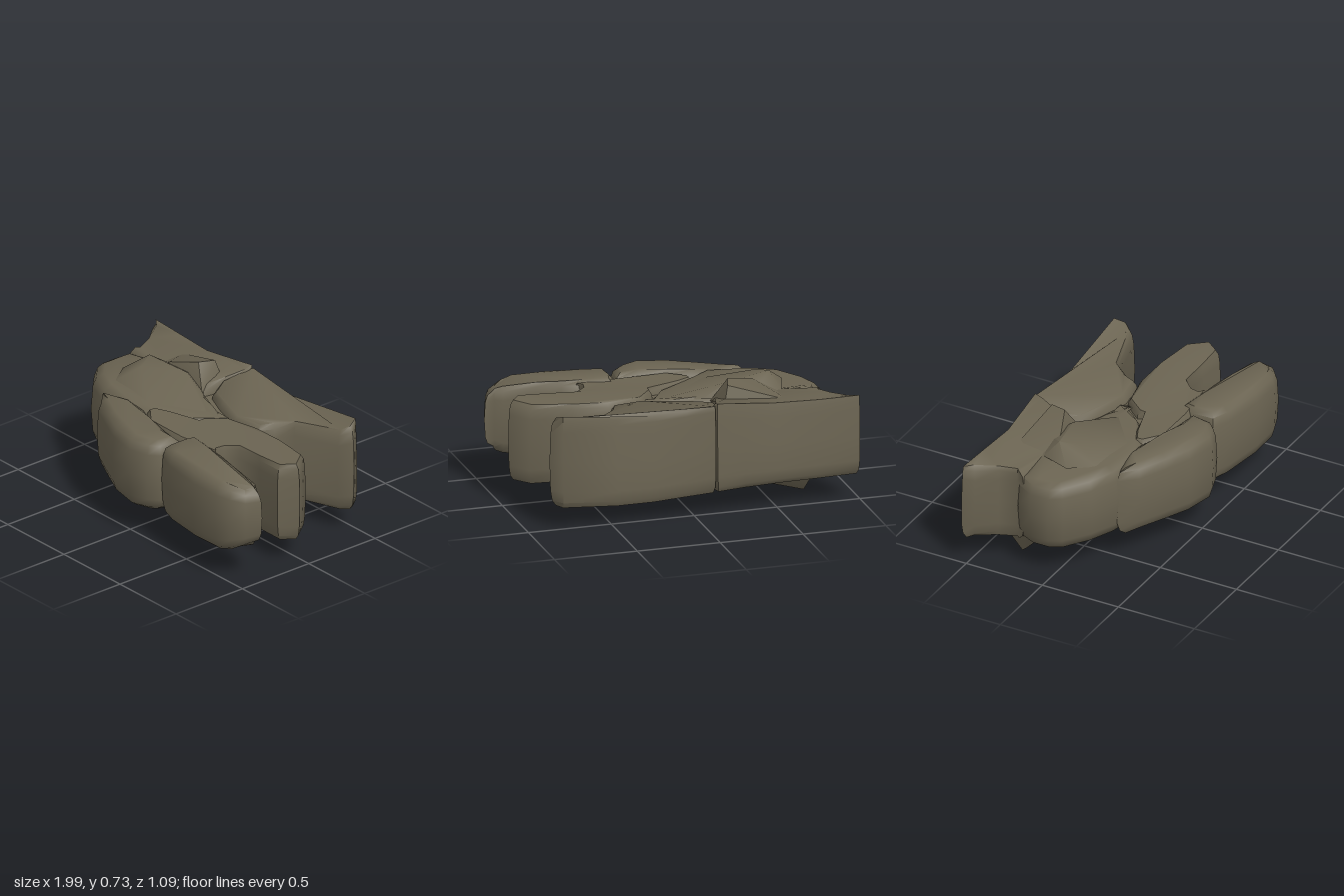
import * as THREE from 'three';
import { toCreasedNormals } from 'three/addons/utils/BufferGeometryUtils.js';
import { ConvexGeometry } from 'three/addons/geometries/ConvexGeometry.js';

// Height fraction and edge inset of each layer of a slab, bottom to top
const LAYERS = [[0, 0.075], [0.06, 0.03], [0.18, 0.01], [0.5, 0], [0.82, 0.01], [0.94, 0.03], [1, 0.075]];

// Linear interpolation through [x, value] pairs
function ramp(keys, x) {
  if (x <= keys[0][0]) return keys[0][1];
  for (let i = 1; i < keys.length; i++) {
    const [x0, a] = keys[i - 1], [x1, b] = keys[i];
    if (x <= x1) return a + (b - a) * (x - x0) / (x1 - x0);
  }
  return keys[keys.length - 1][1];
}

// How far the top of the rear wall leans forward along x
const REAR_LEAN = [[-0.95, 0.015], [-0.5, 0.045], [-0.13, 0.02], [0.3, 0.045], [0.8, 0.015]];

// Rounded slab: a plan outline [x, z] swept through inset layers between two height rules
function slab(outline, bottom, top, round = 1) {
  const plan = outline.map(([x, z]) => new THREE.Vector2(x, z));
  if (THREE.ShapeUtils.isClockWise(plan)) plan.reverse();
  const n = plan.length;
  const rings = LAYERS.map(([t, inset]) => plan.map((p, i) => {
    const a = plan[(i + n - 1) % n], b = plan[(i + 1) % n];
    const dir = b.clone().sub(a).normalize();
    const flatBack = p.y < -0.5;
    const concave = b.clone().sub(p).cross(a.clone().sub(p)) < 0;
    // The rear wall is flat at the top and rolls under at the bottom
    const k = inset * round * (flatBack ? (t < 0.5 ? 0.8 : 0.1) : concave ? 0.3 : 1);
    const lo = bottom(p.x, p.y), hi = top(p.x, p.y);
    return [p.x - dir.y * k, lo + (hi - lo) * t, p.y + dir.x * k + (flatBack ? ramp(REAR_LEAN, p.x) * t : 0)];
  }));
  const pos = rings.flat(2), idx = [];
  for (let r = 0; r < rings.length - 1; r++) {
    for (let i = 0; i < n; i++) {
      const a = r * n + i, b = r * n + (i + 1) % n;
      idx.push(a, a + n, b, b, a + n, b + n);
    }
  }
  const last = (rings.length - 1) * n;
  const capOf = (ring) => THREE.ShapeUtils.triangulateShape(ring.map((p) => new THREE.Vector2(p[0], p[2])), []);
  for (const [a, b, c] of capOf(rings[0])) idx.push(a, b, c);
  for (const [a, b, c] of capOf(rings[rings.length - 1])) idx.push(last + a, last + c, last + b);
  const geo = new THREE.BufferGeometry();
  geo.setAttribute('position', new THREE.Float32BufferAttribute(pos, 3));
  geo.setIndex(idx);
  return toCreasedNormals(geo, 0.95);
}

export function createModel() {
  const group = new THREE.Group();
  const stone = new THREE.MeshStandardMaterial({ color: 0x6b6452 });
  stone.name = 'dark stone';
  stone.side = THREE.DoubleSide;
  const add = (name, geo) => {
    const mesh = new THREE.Mesh(geo, stone);
    mesh.name = name;
    group.add(mesh);
  };
  const hull = (name, pts) => add(name,
    toCreasedNormals(new ConvexGeometry(pts.map((p) => new THREE.Vector3(...p))), 0.9));

  // Back blocks, with a raised rear edge
  const rear = (z) => THREE.MathUtils.clamp((-0.25 - z) / 0.28, 0, 1);
  add('backRightBlock', slab(
    [[-0.99, -0.545], [-0.75, -0.55], [-0.5, -0.55], [-0.3, -0.55], [-0.13, -0.55], [-0.09, -0.47], [-0.16, -0.36],
      [-0.18, -0.2], [-0.4, -0.12], [-0.85, -0.2], [-0.83, -0.26], [-0.87, -0.36], [-0.97, -0.46]],
    (x) => ramp([[-1, 0.16], [-0.4, 0.15], [-0.1, 0.135]], x),
    (x, z) => 0.61 + ramp([[-1, 0.03], [-0.55, 0.02], [-0.13, 0.065]], x) * rear(z), 0.6));
  add('backLeftBlock', slab(
    [[-0.12, -0.55], [0.05, -0.55], [0.25, -0.552], [0.47, -0.555], [0.8, -0.54], [0.86, -0.46], [0.8, -0.385],
      [0.49, -0.325], [0.44, -0.22], [0.39, -0.13], [0.2, -0.1], [0, -0.16], [-0.14, -0.22], [-0.2, -0.34], [-0.15, -0.46]],
    (x) => ramp([[-0.2, 0.14], [0.35, 0.11], [0.86, 0.135]], x),
    (x, z) => 0.6 + ramp([[-0.12, 0.06], [0.2, 0.03], [0.47, 0.035], [0.8, 0.09]], x) * rear(z), 0.5));

  // Rounded outer lobes
  add('rightLobe', slab(
    [[-0.84, -0.25], [-0.9, -0.14], [-0.9, -0.02], [-0.86, 0.06], [-0.73, 0.18], [-0.57, 0.25],
      [-0.3, 0.3], [-0.1, 0.2], [0.04, 0.07], [0.2, -0.07], [0.2, -0.11], [0, -0.15], [-0.2, -0.24], [-0.5, -0.3]],
    (x, z) => (z > 0.1 ? 0.17 : 0.155),
    (x) => ramp([[-0.9, 0.59], [-0.7, 0.62], [-0.35, 0.62], [0, 0.585], [0.2, 0.57]], x)));
  add('frontRightLobe', slab(
    [[-0.56, 0.24], [-0.47, 0.355], [-0.3, 0.44], [-0.15, 0.51], [0.04, 0.55], [0.16, 0.51], [0.22, 0.45],
      [0.23, 0.3], [0.08, 0.28], [-0.08, 0.27], [-0.2, 0.2], [-0.35, 0.17]],
    () => 0.17, (x) => ramp([[-0.55, 0.61], [0, 0.625], [0.22, 0.615]], x), 0.85));

  // Fingers reaching to the left
  add('frontLeftFinger', slab(
    [[0.22, 0.45], [0.34, 0.5], [0.6, 0.54], [0.8, 0.54], [0.89, 0.51], [0.97, 0.45], [1, 0.35],
      [0.94, 0.345], [0.9, 0.295], [0.7, 0.3], [0.56, 0.27], [0.44, 0.22], [0.26, 0.2], [0.21, 0.3]],
    (x) => ramp([[0.2, 0.16], [0.85, 0.175], [1, 0.24]], x),
    (x) => ramp([[0.2, 0.62], [0.85, 0.615], [1, 0.57]], x), 0.75));
  add('middleFinger', slab(
    [[0.08, 0.02], [0.18, -0.1], [0.4, -0.145], [0.62, -0.115], [0.86, -0.095], [0.955, 0.03], [0.88, 0.135],
      [0.7, 0.12], [0.52, 0.115], [0.46, 0.18], [0.45, 0.23], [0.48, 0.28], [0.2, 0.31], [-0.08, 0.31],
      [-0.2, 0.22], [-0.2, 0.15], [-0.1, 0.1], [0.1, 0.06]],
    (x) => ramp([[0, 0.16], [0.9, 0.14]], x),
    (x) => ramp([[-0.2, 0.605], [0.3, 0.6], [0.93, 0.625]], x), 0.4));

  // Sunken core filling the gaps between the pieces
  add('core', slab(
    [[-0.7, -0.35], [-0.7, 0.1], [-0.35, 0.3], [0.25, 0.38], [0.36, 0.2], [0.34, -0.25], [0.2, -0.42], [-0.3, -0.45]],
    () => 0.16, () => 0.55));

  // Broken ridges on top, sloping down into the body
  hull('topRidge', [[-0.57, 0.703, -0.125], [-0.45, 0.69, -0.15], [-0.52, 0.68, -0.02], [-0.68, 0.61, -0.02],
    [-0.58, 0.61, 0.13], [-0.25, 0.6, 0.15], [0.06, 0.565, -0.04], [-0.15, 0.59, -0.18], [-0.3, 0.675, -0.18],
    [-0.4, 0.6, -0.3], [-0.62, 0.61, -0.2]]);
  hull('topShard', [[-0.28, 0.725, -0.25], [-0.25, 0.717, -0.35], [-0.33, 0.69, -0.36], [-0.22, 0.6, -0.38],
    [-0.6, 0.61, -0.4], [-0.45, 0.685, -0.18], [-0.19, 0.58, -0.2], [-0.6, 0.6, -0.15]]);

  // Pointed shards underneath, widening into the body
  hull('rightFoot', [[-0.73, 0.012, -0.28], [-0.72, 0.02, -0.265], [-0.81, 0.18, -0.22], [-0.8, 0.18, -0.35],
    [-0.42, 0.14, -0.35], [-0.25, 0.155, -0.3], [-0.4, 0.135, -0.15], [-0.7, 0.15, -0.13]]);
  hull('leftFoot', [[0.11, 0, -0.05], [0.09, 0.012, -0.03], [0.16, 0.18, -0.1], [0.1, 0.125, -0.14],
    [-0.22, 0.155, -0.17], [-0.27, 0.17, 0.08], [-0.05, 0.15, 0.1], [0.16, 0.17, 0.06]]);
  return group;
}
